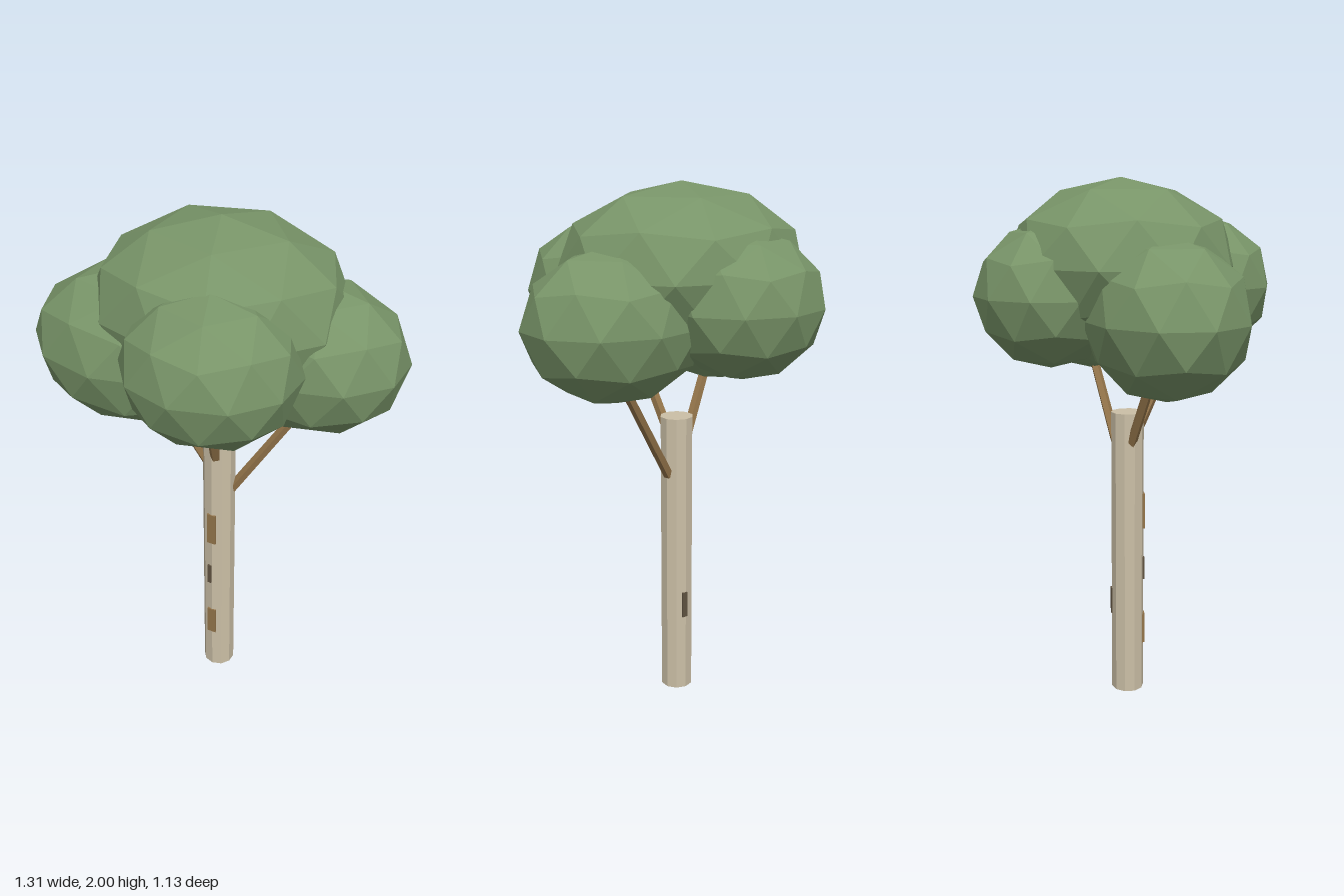
import * as THREE from 'three';

const flat = (name, color) => {
  const m = new THREE.MeshStandardMaterial({ color, flatShading: true });
  m.name = name;
  return m;
};

export function createModel() {
  const tree = new THREE.Group();
  tree.name = 'tree';
  const leaf = flat('leafGreen', 0x789468);
  const bark = flat('paleBark', 0xcbbfa6);
  const wood = flat('branchBrown', 0x93744a);
  const dark = flat('darkBark', 0x5f5240);

  const add = (name, geometry, material, x, y, z) => {
    const mesh = new THREE.Mesh(geometry, material);
    mesh.name = name;
    mesh.position.set(x, y, z);
    tree.add(mesh);
    return mesh;
  };

  // Ten-sided trunk
  add('trunk', new THREE.CylinderGeometry(0.063, 0.063, 1.135, 10), bark, 0.005, 0.5675, 0);

  // Bark marks: thin plates on the front and back of the trunk
  const marks = [
    [wood, 0.003, 0.74, 0.061, 0.036, 0.14],
    [dark, -0.006, 0.505, 0.061, 0.016, 0.09],
    [wood, 0.003, 0.252, 0.061, 0.036, 0.125],
    [dark, 0.01, 0.37, -0.061, 0.022, 0.105],
  ];
  for (const [material, x, y, z, w, h] of marks) {
    add('barkMark', new THREE.BoxGeometry(w, h, 0.0095), material, x, y, z);
  }

  // Branches from the trunk into the foliage
  const branch = (name, from, to) => {
    const a = new THREE.Vector3(...from), b = new THREE.Vector3(...to);
    const dir = b.clone().sub(a);
    const mid = a.clone().add(b).multiplyScalar(0.5);
    const mesh = add(name, new THREE.CylinderGeometry(0.018, 0.02, dir.length(), 5), wood, mid.x, mid.y, mid.z);
    mesh.quaternion.setFromUnitVectors(new THREE.Vector3(0, 1, 0), dir.normalize());
  };
  branch('leftBranch', [0.052, 0.91, -0.015], [0.34, 1.37, -0.112]);
  branch('rightBranch', [-0.03, 1.0, 0.005], [-0.235, 1.4, 0.085]);
  branch('frontBranch', [0.016, 1.08, 0.05], [0.07, 1.45, 0.225]);

  // Foliage: icospheres with a vertex pointing up, stretched to size
  const ico = new THREE.IcosahedronGeometry(1, 1);
  ico.rotateZ(-Math.atan(2 / (1 + Math.sqrt(5))));
  const clumps = [
    ['topFoliage', 0, 1.69, -0.025, 0.47, 0.31, 0.43],
    ['rightFoliage', -0.29, 1.515, 0.097, 0.384, 0.29, 0.298],
    ['leftFoliage', 0.335, 1.53, -0.095, 0.336, 0.275, 0.286],
    ['frontFoliage', 0.12, 1.603, 0.28, 0.315, 0.268, 0.286],
    ['backFoliage', -0.075, 1.585, -0.293, 0.3, 0.262, 0.275],
  ];
  for (const [name, x, y, z, rx, ry, rz] of clumps) {
    add(name, ico.clone().scale(rx, ry, rz), leaf, x, y, z);
  }
  return tree;
}
